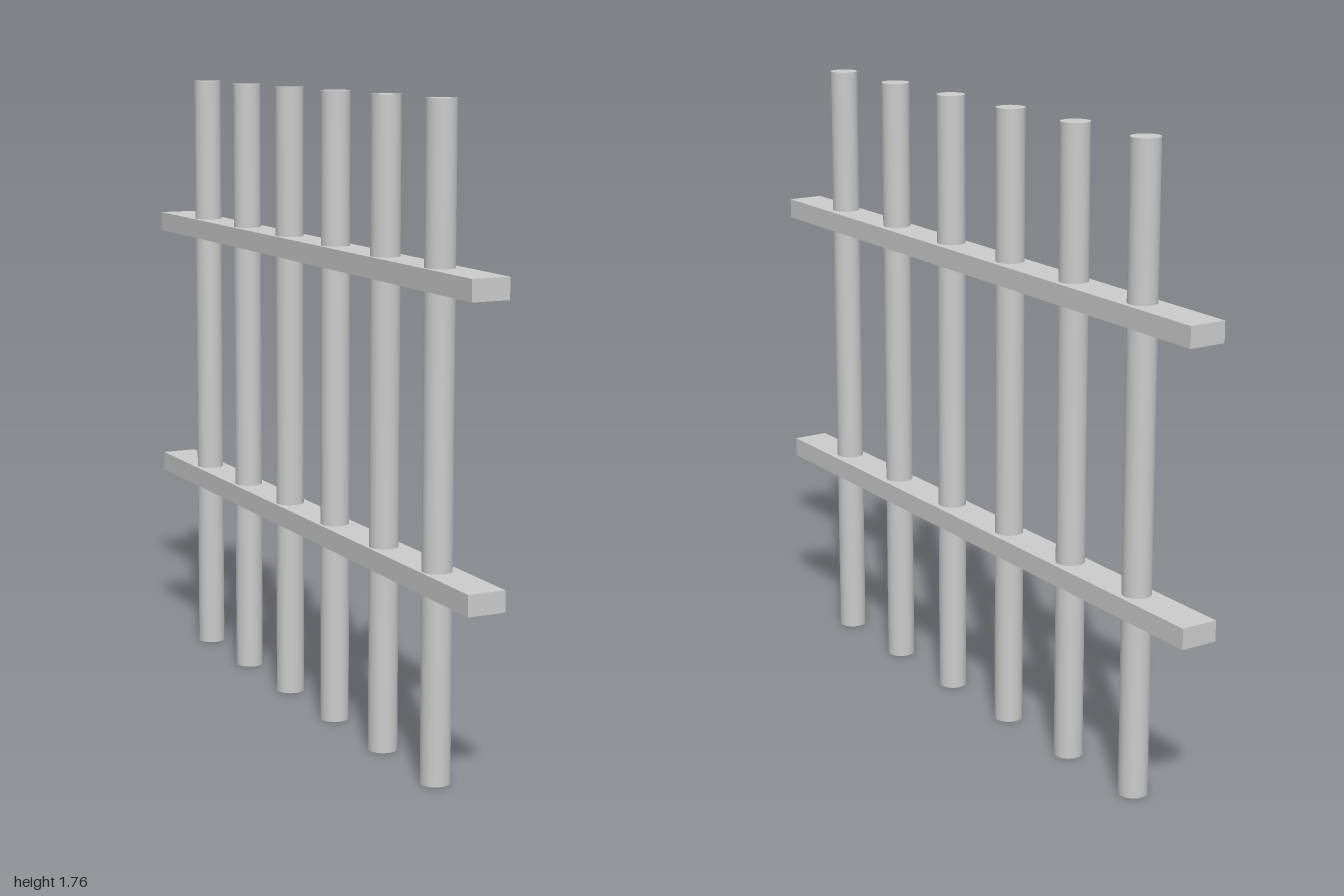
import * as THREE from 'three';

const BAR_COUNT = 6;
const BAR_HEIGHT = 1.765;
const BAR_RADIUS = 0.04;

export function createModel() {
  const group = new THREE.Group();
  group.name = 'barFence';
  const material = new THREE.MeshStandardMaterial({ color: 0xcccccc });

  // Upright round bars, evenly spaced along z
  const barGeometry = new THREE.CylinderGeometry(BAR_RADIUS, BAR_RADIUS, BAR_HEIGHT, 32);
  for (let i = 0; i < BAR_COUNT; i++) {
    const bar = new THREE.Mesh(barGeometry, material);
    bar.name = `uprightBar${i + 1}`;
    bar.position.set(-0.004, BAR_HEIGHT / 2, 0.756 - i * 0.2985);
    group.add(bar);
  }

  // Flat horizontal rails that the bars pass through, turned very slightly
  const railGeometry = new THREE.BoxGeometry(0.106, 0.057, 2);
  for (const [name, y] of [['lowerRail', 0.537], ['upperRail', 1.316]]) {
    const rail = new THREE.Mesh(railGeometry, material);
    rail.name = name;
    rail.position.y = y;
    rail.rotation.y = 0.003;
    group.add(rail);
  }

  return group;
}
